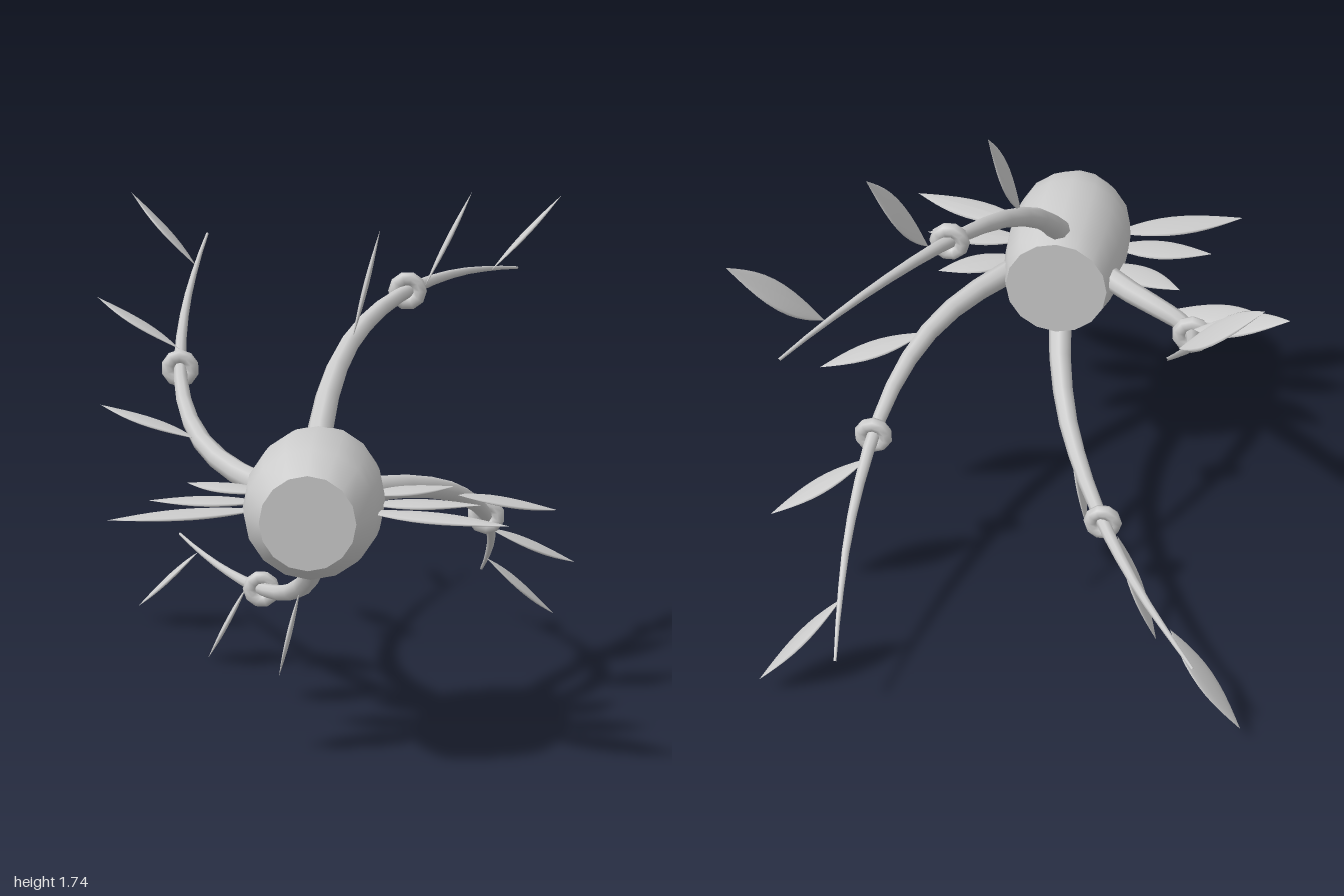
import * as THREE from 'three';
import { toCreasedNormals } from 'three/addons/utils/BufferGeometryUtils.js';

const grey = new THREE.MeshStandardMaterial({ color: 0xcccccc });
grey.name = 'light grey';

const v = (x, y, z) => new THREE.Vector3(x, y, z);

function mesh(geometry, name) {
  const m = new THREE.Mesh(geometry, grey);
  m.name = name;
  return m;
}

// Thin lens-shaped leaf from base to tip, its blade turned towards widthHint
function leaf(base, tip, widthHint, halfWidth, name) {
  const length = base.distanceTo(tip);
  const profile = [];
  for (let i = 0; i <= 10; i++) {
    const t = i / 10;
    profile.push(new THREE.Vector2(halfWidth * Math.sin(Math.PI * Math.pow(t, 0.95)) + 0.0005, t * length));
  }
  const g = new THREE.LatheGeometry(profile, 12);
  g.scale(1, 1, 0.14);
  g.computeVertexNormals();
  const along = tip.clone().sub(base).normalize();
  const across = widthHint.clone().addScaledVector(along, -widthHint.dot(along)).normalize();
  const normal = across.clone().cross(along);
  g.applyMatrix4(new THREE.Matrix4().makeBasis(across, along, normal).setPosition(base));
  return mesh(g, name);
}

// Tube that narrows from r0 to r1, with a closed tip
function taperedTube(curve, segments, sides, r0, r1) {
  const g = new THREE.TubeGeometry(curve, segments, 1, sides);
  const pos = g.attributes.position;
  const p = v(0, 0, 0);
  for (let i = 0; i <= segments; i++) {
    const c = curve.getPointAt(i / segments);
    const r = THREE.MathUtils.lerp(r0, r1, i / segments);
    for (let j = 0; j <= sides; j++) {
      const k = i * (sides + 1) + j;
      p.fromBufferAttribute(pos, k).sub(c).multiplyScalar(r).add(c);
      pos.setXYZ(k, p.x, p.y, p.z);
    }
  }
  return g;
}

// One swept-back branch, drawn around the barrel axis
function createBranch() {
  const branch = new THREE.Group();
  const path = new THREE.CatmullRomCurve3([
    v(0, 0.11, 0.57), v(0.01, 0.24, 0.42), v(0.06, 0.39, 0.22), v(0.14, 0.485, 0.02),
    v(0.26, 0.545, -0.24), v(0.42, 0.565, -0.56), v(0.56, 0.55, -0.82), v(0.65, 0.53, -0.99),
  ]);
  branch.add(mesh(taperedTube(path, 14, 8, 0.045, 0.005), 'stem'));

  const ring = mesh(new THREE.TorusGeometry(0.043, 0.025, 8, 10), 'knot ring');
  ring.position.set(0.26, 0.545, -0.24);
  branch.add(ring);

  const leaves = [
    [v(0.09, 0.44, 0.17), v(0.175, 0.79, 0.02)],
    [v(0.32, 0.555, -0.3), v(0.48, 0.87, -0.455)],
    [v(0.555, 0.55, -0.78), v(0.81, 0.81, -0.935)],
  ];
  for (const [base, tip] of leaves) branch.add(leaf(base, tip, v(0, 0, 1), 0.064, 'branch leaf'));
  return branch;
}

export function createModel() {
  const model = new THREE.Group();
  const body = new THREE.Group();
  body.name = 'body';
  body.position.y = 0.885;
  model.add(body);

  // Barrel lying along z
  const profile = [
    [0, 0.39], [0.183, 0.39], [0.203, 0.47], [0.218, 0.58], [0.225, 0.7],
    [0.22, 0.8], [0.208, 0.885], [0.15, 1], [0, 1],
  ].map(([r, z]) => new THREE.Vector2(r, z));
  const barrel = new THREE.LatheGeometry(profile, 16);
  barrel.rotateX(Math.PI / 2);
  body.add(mesh(toCreasedNormals(barrel, 0.8), 'barrel'));

  // Four branches turned around the barrel
  for (let k = 0; k < 4; k++) {
    const branch = createBranch();
    branch.name = 'branch';
    branch.rotation.z = (k * Math.PI) / 2;
    body.add(branch);
  }

  // Flat side leaves, three on each side
  const sideLeaves = [
    [0.15, 0.81, 0.62, 0.995, 0.068],
    [0.15, 0.715, 0.53, 0.715, 0.066],
    [0.15, 0.595, 0.44, 0.447, 0.064],
  ];
  for (const side of [1, -1]) {
    for (const [x0, z0, x1, z1, w] of sideLeaves) {
      body.add(leaf(v(side * x0, 0, z0), v(side * x1, 0, z1), v(0, 0, 1), w, 'side leaf'));
    }
  }
  return model;
}
